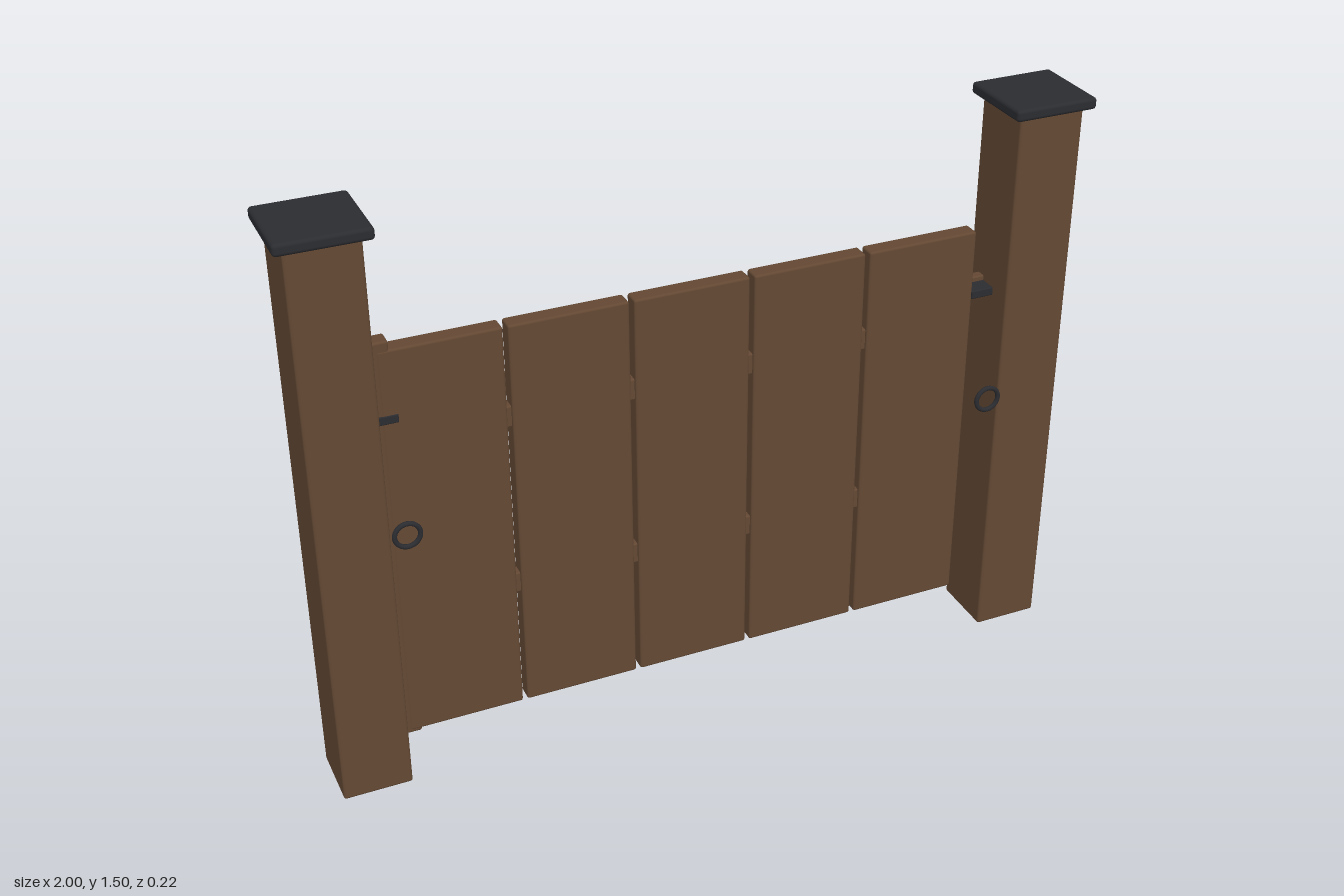
import * as THREE from 'three';
import { RoundedBoxGeometry } from 'three/addons/geometries/RoundedBoxGeometry.js';

const wood = new THREE.MeshStandardMaterial({ color: 0x634833 });
const iron = new THREE.MeshStandardMaterial({ color: 0x2b2c30 });

// Softly bevelled box given by its minimum and maximum corners
function block(name, min, max, bevel, material) {
  const size = max.map((v, i) => v - min[i]);
  const mesh = new THREE.Mesh(new RoundedBoxGeometry(...size, 2, bevel), material);
  mesh.position.set(...min.map((v, i) => (v + max[i]) / 2));
  mesh.name = name;
  return mesh;
}

export function createModel() {
  const model = new THREE.Group();
  model.name = 'gate';

  // Posts, caps, latch strips and pull rings on both sides
  for (const [side, s] of [['left', 1], ['right', -1]]) {
    const post = new THREE.Group();
    post.name = `${side}PostAssembly`;
    const x = s * 0.89;
    post.add(block(`${side}Post`, [x - 0.087, 0, -0.087], [x + 0.087, 1.478, 0.087], 0.007, wood));
    post.add(block(`${side}PostCap`, [x - 0.11, 1.475, -0.108], [x + 0.11, 1.505, 0.108], 0.009, iron));

    const latchX = s * 0.774;
    post.add(block(`${side}LatchStrip`, [latchX - 0.031, 0.979, -0.064], [latchX + 0.031, 1.001, 0.024], 0.003, iron));

    const ring = new THREE.Mesh(new THREE.TorusGeometry(0.031, 0.006, 10, 32), iron);
    ring.name = `${side}PullRing`;
    ring.position.set(s * 0.766, 0.725, 0.097);
    post.add(ring);
    model.add(post);
  }

  // Vertical boards with narrow gaps
  const boards = new THREE.Group();
  boards.name = 'boards';
  for (let i = 0; i < 5; i++) {
    const x = -0.635 + i * 0.308;
    boards.add(block(`board${i + 1}`, [x - 0.148, 0.103, -0.024], [x + 0.148, 1.165, 0.022], 0.006, wood));
  }
  model.add(boards);

  // Upright stile on the hinge side
  model.add(block('hingeStile', [-0.802, 0.095, -0.023], [-0.752, 1.188, 0.021], 0.006, wood));

  // Rails hidden inside the boards, seen only in the gaps
  for (const [name, y] of [['upperRail', 0.925], ['lowerRail', 0.458]]) {
    model.add(block(name, [-0.78, y - 0.028, -0.018], [0.735, y + 0.028, 0.014], 0.004, wood));
  }

  // Crossbar across the back, reaching both posts
  model.add(block('backCrossbar', [-0.805, 0.965, -0.048], [0.805, 1.014, -0.022], 0.004, wood));

  return model;
}
